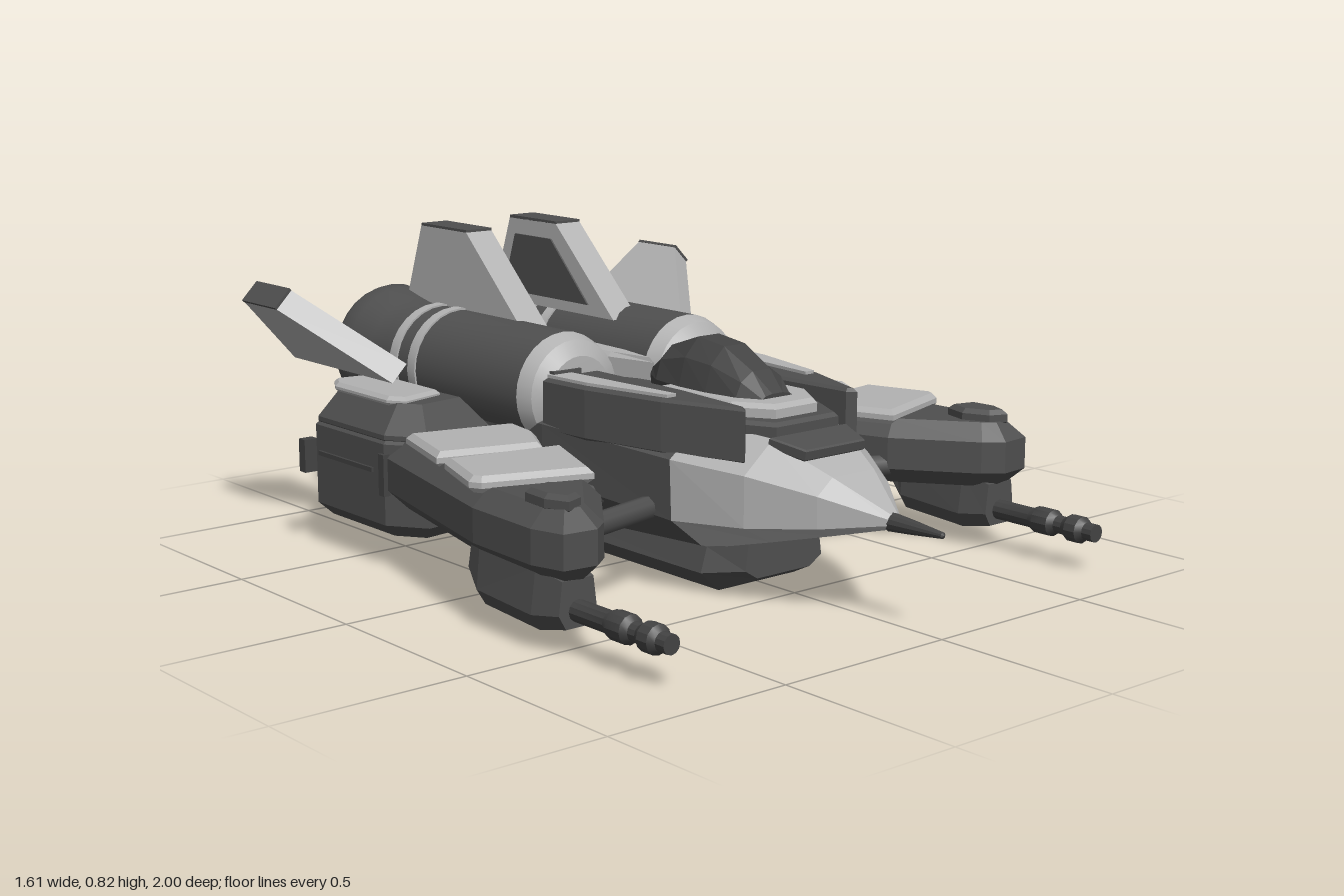
import * as THREE from 'three';
import { toCreasedNormals } from 'three/addons/utils/BufferGeometryUtils.js';

const paint = (name, color) => Object.assign(new THREE.MeshStandardMaterial({ color }), { name });

// Flat-shaded loft; each section is [z, right half of the ring from bottom to top]
function loft(sections) {
  const rings = sections.map(([z, half]) => [
    ...half.map(([x, y]) => new THREE.Vector3(x, y, z)),
    ...half.slice().reverse().map(([x, y]) => new THREE.Vector3(-x, y, z)),
  ]);
  const pts = [], n = rings[0].length;
  for (let k = 0; k < rings.length - 1; k++) {
    for (let i = 0; i < n; i++) {
      const j = (i + 1) % n, a = rings[k], b = rings[k + 1];
      pts.push(a[i], a[j], b[j], a[i], b[j], b[i]);
    }
  }
  const first = rings[0], last = rings[rings.length - 1];
  for (let i = 1; i < n - 1; i++) {
    pts.push(first[0], first[i + 1], first[i], last[0], last[i], last[i + 1]);
  }
  const geo = new THREE.BufferGeometry().setFromPoints(pts);
  geo.computeVertexNormals();
  return geo;
}

// Slab with an [x, z] outline between two heights, with chamfered rims
function slab(outline, y0, y1, inset = 0, drop = inset) {
  const shape = new THREE.Shape(outline.map(([x, z]) => new THREE.Vector2(x, -z)));
  const geo = new THREE.ExtrudeGeometry(shape, {
    depth: y1 - y0 - 2 * drop, bevelEnabled: inset > 0, bevelSegments: 1,
    bevelSize: inset, bevelOffset: -inset, bevelThickness: drop,
  });
  return geo.rotateX(-Math.PI / 2).translate(0, y0 + drop, 0);
}

// Upright plate with a [z, y] outline between x0 and x1
function upright(outline, x0, x1) {
  const shape = new THREE.Shape(outline.map(([z, y]) => new THREE.Vector2(z, y)));
  return new THREE.ExtrudeGeometry(shape, { depth: x1 - x0, bevelEnabled: false })
    .rotateY(-Math.PI / 2).translate(x1, 0, 0);
}

// Turned part from [radius, distance toward the rear]
function turned(profile, x, y, sides = 28) {
  const geo = new THREE.LatheGeometry(profile.map(([r, d]) => new THREE.Vector2(r, d)), sides);
  return toCreasedNormals(geo.rotateX(-Math.PI / 2).translate(x, y, 0), 0.5);
}

const box = (w, h, d, x, y, z) => new THREE.BoxGeometry(w, h, d).translate(x, y, z);

function rod(from, to, r) {
  const a = new THREE.Vector3(...from), b = new THREE.Vector3(...to);
  const dir = b.clone().sub(a);
  const geo = new THREE.CylinderGeometry(r, r, dir.length(), 8);
  geo.applyQuaternion(new THREE.Quaternion().setFromUnitVectors(new THREE.Vector3(0, 1, 0), dir.normalize()));
  const mid = a.add(b).multiplyScalar(0.5);
  return geo.translate(mid.x, mid.y, mid.z);
}

function mirrored(source) {
  const geo = source.index ? source.toNonIndexed() : source.clone();
  geo.scale(-1, 1, 1);
  for (const attr of Object.values(geo.attributes)) {
    const a = attr.array, s = attr.itemSize;
    for (let t = 0; t < a.length; t += 3 * s) {
      for (let k = 0; k < s; k++) [a[t + s + k], a[t + 2 * s + k]] = [a[t + 2 * s + k], a[t + s + k]];
    }
  }
  return geo;
}

export function createModel() {
  const model = new THREE.Group();
  model.name = 'starfighter';
  const light = paint('light grey plating', 0xb2b2b2);
  const dark = paint('dark grey hull', 0x4f4f4f);
  const black = paint('charcoal', 0x434343);
  const blue = paint('engine blue', 0x3596b5);

  const add = (name, geo, mat) => {
    const mesh = new THREE.Mesh(geo, mat);
    mesh.name = name;
    model.add(mesh);
  };
  const pair = (name, geo, mat) => {
    add(name + 'Left', geo, mat);
    add(name + 'Right', mirrored(geo), mat);
  };

  // Fuselage, nose and keel
  add('hull', loft([
    [-0.85, [[0.14, 0.1], [0.28, 0.25], [0.28, 0.34], [0.1, 0.42]]],
    [-0.7, [[0.17, 0.09], [0.33, 0.25], [0.33, 0.36], [0.15, 0.44]]],
    [-0.1, [[0.17, 0.09], [0.335, 0.24], [0.335, 0.38], [0.2, 0.46]]],
    [0.34, [[0.16, 0.11], [0.27, 0.2], [0.275, 0.355], [0.16, 0.45]]],
  ]), dark);
  add('nose', loft([
    [0.34, [[0.16, 0.11], [0.27, 0.2], [0.275, 0.355], [0.16, 0.45]]],
    [0.54, [[0.12, 0.16], [0.21, 0.21], [0.21, 0.34], [0.12, 0.415]]],
    [0.7, [[0.07, 0.2], [0.12, 0.225], [0.12, 0.305], [0.07, 0.345]]],
    [0.84, [[0.01, 0.235], [0.02, 0.245], [0.02, 0.26], [0.01, 0.27]]],
  ]), light);
  add('noseSpike', turned([[0, -1], [0.008, -0.995], [0.018, -0.9], [0.024, -0.83]], 0, 0.25, 12), black);
  add('keel', loft([
    [-0.73, [[0.1, 0.015], [0.16, 0.05], [0.16, 0.11]]],
    [-0.64, [[0.13, 0], [0.19, 0.055], [0.17, 0.11]]],
    [0.36, [[0.13, 0], [0.19, 0.055], [0.17, 0.12]]],
    [0.46, [[0.09, 0.045], [0.13, 0.07], [0.12, 0.14]]],
  ]), dark);
  add('spine', slab([[0, -0.05], [0.035, -0.2], [0.055, -0.62], [0, -0.84],
    [-0.055, -0.62], [-0.035, -0.2]], 0.4, 0.52, 0.012), light);

  // Shoulder fairings beside the cockpit
  pair('shoulder', slab([[0.15, -0.1], [0.33, -0.1], [0.32, 0.06], [0.27, 0.3], [0.19, 0.52],
    [0.17, 0.5], [0.15, 0.25]], 0.36, 0.5, 0.008), dark);
  pair('shoulderStripe', slab([[0.25, -0.1], [0.315, -0.1], [0.305, 0.05], [0.25, 0.3],
    [0.22, 0.3]], 0.499, 0.508), light);
  pair('shoulderLatch', box(0.09, 0.02, 0.03, 0.26, 0.505, -0.1), dark);

  // Cockpit: stepped collar, glass and nose panel
  const collar = (w, front, cut) => [[w, 0.12], [w, front - cut], [w - 0.065, front],
    [0.065 - w, front], [-w, front - cut], [-w, 0.12]];
  add('cockpitDeck', slab(collar(0.17, 0.54, 0.13), 0.4, 0.455, 0.01), dark);
  add('cockpitCollar', slab(collar(0.135, 0.5, 0.1), 0.44, 0.49, 0.012), light);
  const glass = (z, w, top) => [z, [[w * 0.8, 0.42], [w, 0.49], [w * 0.8, 0.49 + (top - 0.49) * 0.6],
    [w * 0.35, top]]];
  add('canopy', loft([
    glass(-0.01, 0.045, 0.52), glass(0.06, 0.085, 0.575), glass(0.17, 0.1, 0.612),
    glass(0.27, 0.1, 0.6), glass(0.37, 0.085, 0.55), glass(0.43, 0.05, 0.5),
  ]), black);
  add('nosePanel', slab([[-0.13, -0.05], [0.13, -0.05], [0.1, 0.05], [-0.1, 0.05]], 0, 0.03, 0.004)
    .rotateX(0.2).translate(0, 0.385, 0.585), dark);

  // Engines
  const ex = 0.213, ey = 0.445;
  pair('engineCap', turned([[0, 0.09], [0.1, 0.095], [0.14, 0.12], [0.155, 0.165]], ex, ey), light);
  pair('engineBody', turned([[0.155, 0.165], [0.155, 0.8], [0.165, 0.85], [0.184, 0.93], [0.188, 0.975],
    [0.18, 1], [0.155, 1], [0.143, 0.97], [0.143, 0.94]], ex, ey), dark);
  for (const d of [0.63, 0.72]) {
    pair('engineBand', turned([[0.15, d], [0.16, d], [0.16, d + 0.035], [0.15, d + 0.035]], ex, ey), light);
  }
  pair('engineGlow', new THREE.CircleGeometry(0.146, 28).rotateY(Math.PI).translate(ex, ey, -0.965), blue);

  // Upright fins on the engines
  pair('engineFin', upright([[-0.36, 0.57], [-0.62, 0.815], [-0.84, 0.815], [-0.93, 0.57]], 0.112, 0.198), light);
  pair('engineFinCap', box(0.086, 0.008, 0.22, 0.155, 0.818, -0.73), dark);
  pair('engineFinInset', upright([[-0.47, 0.6], [-0.64, 0.77], [-0.81, 0.77], [-0.87, 0.6]], 0.107, 0.113), dark);

  // Canted tail fins
  const cant = (geo) => geo.rotateZ(0.77).translate(0.505, 0.475, 0);
  pair('cantedFin', cant(slab([[0, -0.5], [0, -1], [0.27, -0.93], [0.27, -0.76]], -0.033, 0.033)), light);
  pair('cantedFinTip', cant(box(0.008, 0.068, 0.175, 0.272, 0, -0.845)), dark);

  // Forward-swept wings with raised panels
  pair('wing', slab([[0.35, -0.25], [0.66, -0.35], [0.795, 0.24], [0.805, 0.48], [0.78, 0.57],
    [0.69, 0.58], [0.64, 0.54], [0.49, 0.34], [0.34, -0.08]], 0.17, 0.345, 0.045), dark);
  pair('wingPanelRear', slab([[0.35, -0.2], [0.64, -0.27], [0.71, -0.03], [0.44, 0.045], [0.37, -0.08]],
    0.33, 0.372, 0.014), light);
  pair('wingPanelFront', slab([[0.41, 0.085], [0.725, 0.025], [0.79, 0.22], [0.775, 0.25], [0.51, 0.34]],
    0.33, 0.372, 0.014), light);
  pair('wingHatch', slab([[0.68, 0.38], [0.76, 0.4], [0.765, 0.48], [0.74, 0.54], [0.69, 0.52], [0.66, 0.45]],
    0.33, 0.375, 0.012), dark);

  // Rear wing pods
  const podPlan = [[0.4, -0.72], [0.56, -0.74], [0.67, -0.66], [0.67, -0.33], [0.6, -0.23], [0.38, -0.26]];
  pair('pod', slab(podPlan, 0.085, 0.37, 0.035), dark);
  pair('podShoulder', slab(podPlan.map(([x, z]) => [x * 0.97 + 0.015, z * 0.97 - 0.015]),
    0.27, 0.432, 0.055, 0.075), dark);
  pair('podPanel', slab([[0.465, -0.67], [0.59, -0.69], [0.625, -0.63], [0.625, -0.38], [0.595, -0.335],
    [0.465, -0.37]], 0.42, 0.447, 0.01), light);
  pair('podSeam', box(0.012, 0.012, 0.26, 0.671, 0.26, -0.51), black);
  pair('podClipRear', box(0.04, 0.09, 0.03, 0.675, 0.245, -0.695), black);
  pair('podClipFront', box(0.03, 0.11, 0.025, 0.665, 0.255, -0.33), black);

  // Struts between hull and wings
  pair('frontStrut', rod([0.24, 0.22, 0.25], [0.6, 0.22, 0.34], 0.03), dark);
  pair('rearStrut', rod([0.28, 0.22, 0.07], [0.5, 0.22, 0.02], 0.03), dark);

  // Guns below the wing tips
  pair('gunHousing', loft([
    [0.18, [[0.03, 0.12], [0.05, 0.14], [0.04, 0.2]]],
    [0.24, [[0.045, 0.06], [0.07, 0.1], [0.06, 0.2]]],
    [0.46, [[0.05, 0.05], [0.075, 0.09], [0.06, 0.2]]],
    [0.54, [[0.035, 0.065], [0.055, 0.1], [0.045, 0.18]]],
  ]).translate(0.717, 0, 0), dark);
  pair('gunBarrel', turned([[0, -0.87], [0.024, -0.87], [0.024, -0.84], [0.036, -0.825], [0.036, -0.79],
    [0.024, -0.77], [0.024, -0.745], [0.036, -0.73], [0.036, -0.68], [0.027, -0.66], [0.027, -0.5]],
  0.717, 0.105, 12), black);

  return model;
}
